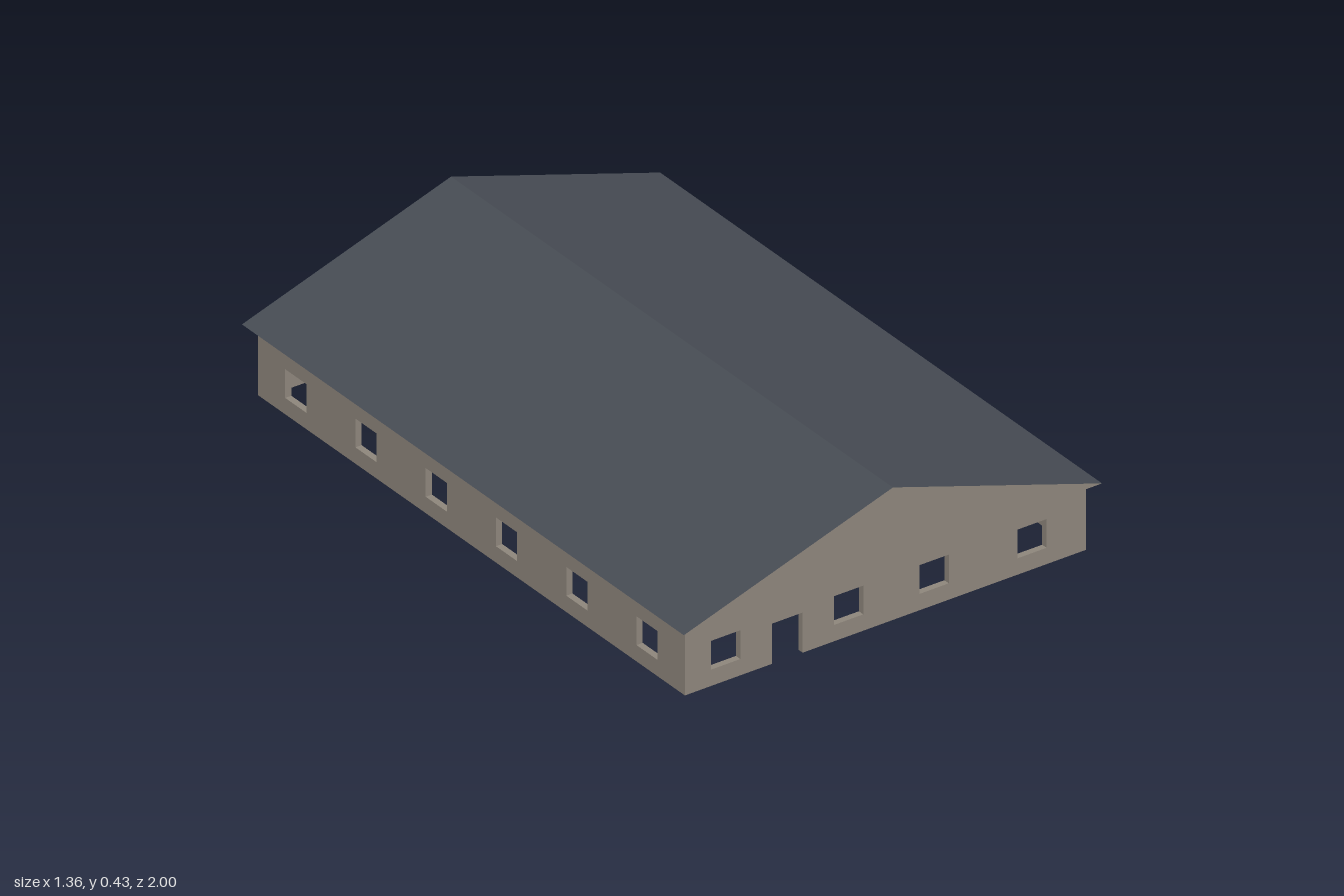
import * as THREE from 'three';

const W = 0.652, L = 0.966, H = 0.21, T = 0.02; // wall half sizes, height, thickness
const RX = 0.68, RZ = 1, APEX = 0.43;           // roof half sizes and ridge height
const SILL = 0.05, HEAD = 0.138;

const wallMat = new THREE.MeshStandardMaterial({ color: 0x8d857b, side: THREE.DoubleSide });
wallMat.name = 'taupe wall';
const roofMat = new THREE.MeshStandardMaterial({ color: 0x464b53, side: THREE.DoubleSide });
roofMat.name = 'slate roof';

// Wall slab with window holes and an optional doorway; outer face at local z = 0
function wallGeometry(half, windows, door) {
  const s = new THREE.Shape();
  s.moveTo(-half, 0);
  if (door) {
    const [a, b, top] = door;
    s.lineTo(a, 0);
    s.lineTo(a, top);
    s.lineTo(b, top);
    s.lineTo(b, 0);
  }
  s.lineTo(half, 0);
  s.lineTo(half, H);
  s.lineTo(-half, H);
  s.closePath();
  for (const [a, b] of windows) {
    const hole = new THREE.Path();
    hole.moveTo(a, SILL);
    hole.lineTo(a, HEAD);
    hole.lineTo(b, HEAD);
    hole.lineTo(b, SILL);
    hole.closePath();
    s.holes.push(hole);
  }
  return new THREE.ExtrudeGeometry(s, { depth: T, bevelEnabled: false }).translate(0, 0, -T);
}

export function createModel() {
  const model = new THREE.Group();
  model.name = 'longHouse';
  const add = (name, geo, mat, x, z, ry) => {
    const m = new THREE.Mesh(geo, mat);
    m.name = name;
    m.position.set(x, 0, z);
    m.rotation.y = ry;
    model.add(m);
    return m;
  };

  // End walls: the back is the front turned half way round
  const endWall = wallGeometry(W,
    [[-0.567, -0.472], [-0.167, -0.072], [0.111, 0.206], [0.429, 0.524]],
    [-0.369, -0.269, 0.123]);
  add('frontWall', endWall, wallMat, 0, L, 0);
  add('backWall', endWall, wallMat, 0, -L, Math.PI);

  // Long side walls with six evenly spaced windows
  const sideWindows = [];
  for (let i = 0; i < 6; i++) {
    const c = (i - 2.5) * 0.318;
    sideWindows.push([c - 0.048, c + 0.048]);
  }
  const sideWall = wallGeometry(L - T, sideWindows);
  add('leftWall', sideWall, wallMat, W, 0, Math.PI / 2);
  add('rightWall', sideWall, wallMat, -W, 0, -Math.PI / 2);

  // Triangular gables flush with the roof ends
  const gable = new THREE.ShapeGeometry(new THREE.Shape([
    new THREE.Vector2(-RX, H), new THREE.Vector2(RX, H), new THREE.Vector2(0, APEX),
  ]));
  add('frontGable', gable, wallMat, 0, RZ, 0);
  add('backGable', gable, wallMat, 0, -RZ, Math.PI);

  // Two thin roof slopes meeting at the ridge
  const rise = APEX - H;
  const slope = new THREE.PlaneGeometry(Math.hypot(RX, rise), 2 * RZ)
    .rotateX(-Math.PI / 2)
    .rotateZ(-Math.atan2(rise, RX))
    .translate(RX / 2, (H + APEX) / 2, 0);
  add('leftRoofSlope', slope, roofMat, 0, 0, 0);
  add('rightRoofSlope', slope, roofMat, 0, 0, Math.PI);

  return model;
}
